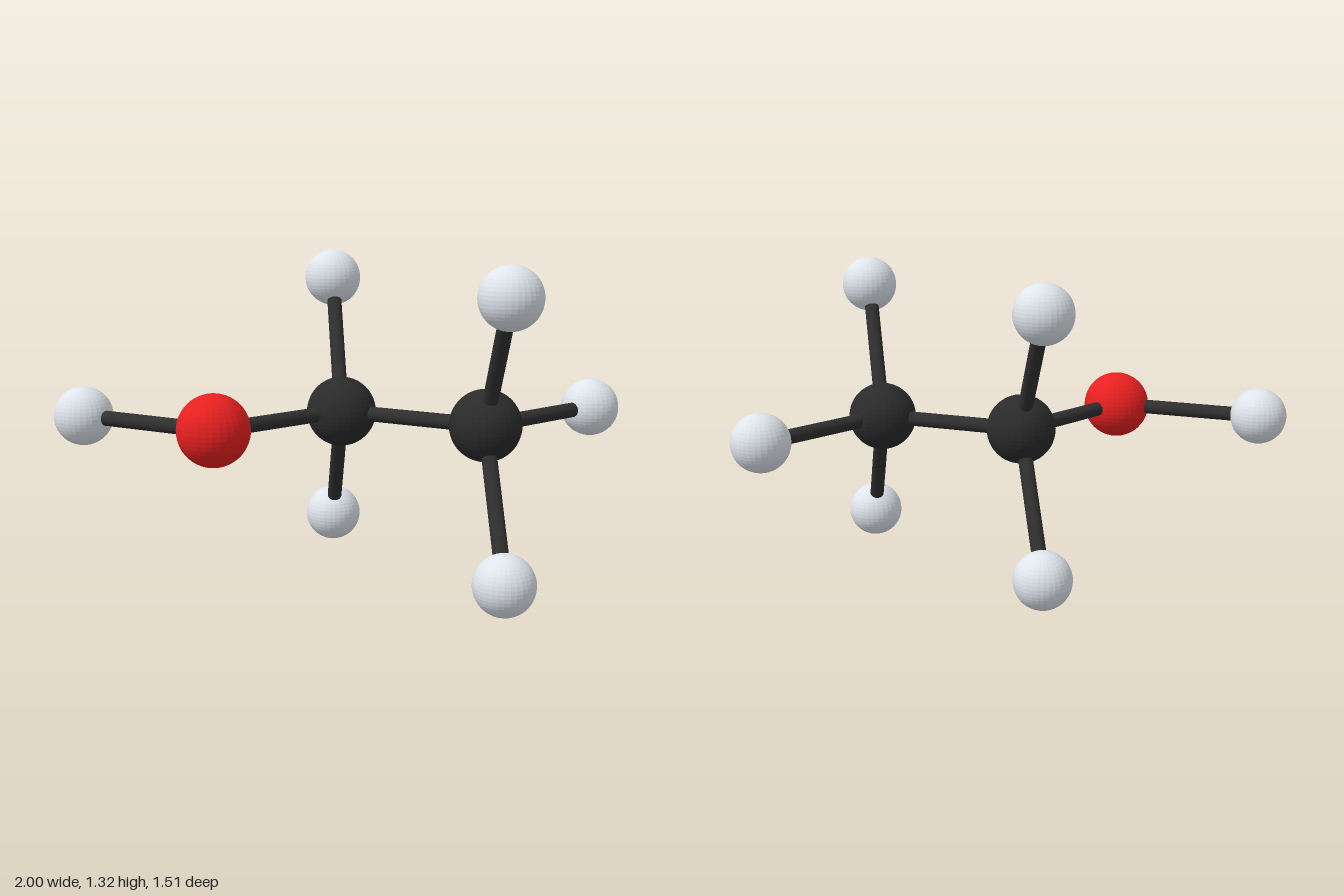
import * as THREE from 'three';

const paint = (color) => new THREE.MeshStandardMaterial({ color, flatShading: true });

export function createModel() {
  const model = new THREE.Group();
  const kinds = {
    carbon: { radius: 0.146, material: paint(0x2b2b2b) },
    oxygen: { radius: 0.146, material: paint(0xe82020) },
    hydrogen: { radius: 0.122, material: paint(0xdfe5ec) },
  };
  const bondMaterial = paint(0x2f2f2f);

  // Tetrahedral layout around the two carbons
  const midY = 0.661, midZ = -0.012;
  const near = -0.003, far = 0.656; // carbon x positions
  const dx = 0.22, dy = 0.539, dz = 0.311;
  const at = (x, y, z) => new THREE.Vector3(x, midY + y, midZ + z);

  const atoms = [
    ['carbon', at(near, 0, 0)],
    ['carbon', at(far, 0, 0)],
    ['oxygen', at(near - dx, 0, 2 * dz)],
    ['hydrogen', at(near - dx - 0.656, 0, 2 * dz)],
    ['hydrogen', at(near - dx, dy, -dz)],
    ['hydrogen', at(near - dx, -dy, -dz)],
    ['hydrogen', at(far + dx, dy, dz)],
    ['hydrogen', at(far + dx, -dy, dz)],
    ['hydrogen', at(far + dx, 0, -2 * dz)],
  ];
  const bonds = [[0, 1], [0, 2], [2, 3], [0, 4], [0, 5], [1, 6], [1, 7], [1, 8]];

  // Atom balls
  for (const [kind, position] of atoms) {
    const { radius, material } = kinds[kind];
    const ball = new THREE.Mesh(new THREE.SphereGeometry(radius, 32, 24), material);
    ball.name = kind + 'Atom';
    ball.position.copy(position);
    model.add(ball);
  }

  // Rods joining ball centres
  const up = new THREE.Vector3(0, 1, 0);
  for (const [i, j] of bonds) {
    const a = atoms[i][1], b = atoms[j][1];
    const along = b.clone().sub(a);
    const rod = new THREE.Mesh(new THREE.CylinderGeometry(0.031, 0.031, along.length(), 24), bondMaterial);
    rod.name = 'bond';
    rod.position.copy(a).lerp(b, 0.5);
    rod.quaternion.setFromUnitVectors(up, along.normalize());
    model.add(rod);
  }
  return model;
}
